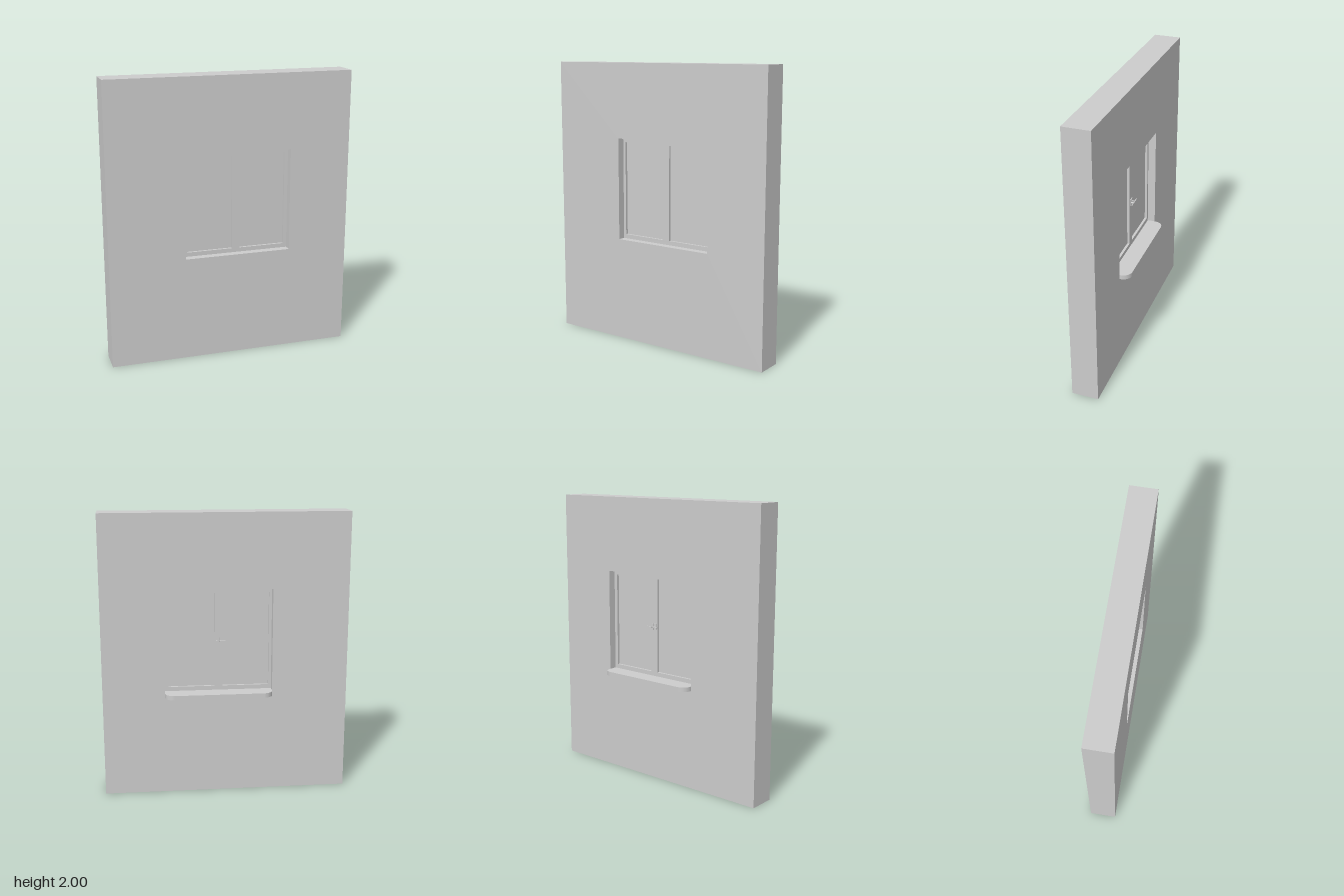
import * as THREE from 'three';

const mat = new THREE.MeshStandardMaterial({ color: 0xcccccc, side: THREE.DoubleSide });

// Window opening and wall depth limits
const X0 = -0.33, X1 = 0.43, Y0 = 0.74, Y1 = 1.47;
const WALL_BACK = -0.06, WALL_FRONT = 0.13;
const FRAME_BACK = -0.005, FRAME_FRONT = 0.075;

function rect(Type, x0, x1, y0, y1) {
  const s = new Type();
  s.moveTo(x0, y0);
  s.lineTo(x1, y0);
  s.lineTo(x1, y1);
  s.lineTo(x0, y1);
  s.closePath();
  return s;
}

function extrude(shape, z, depth) {
  const g = new THREE.ExtrudeGeometry(shape, { depth, bevelEnabled: false, curveSegments: 12 });
  return g.translate(0, 0, z);
}

function add(parent, name, geometry, x = 0, y = 0, z = 0) {
  const m = new THREE.Mesh(geometry, mat);
  m.name = name;
  m.position.set(x, y, z);
  parent.add(m);
  return m;
}

// Remove the triangles lying on the ground, leaving the wall open below
function openBottom(geometry) {
  const p = geometry.attributes.position.array;
  const kept = [];
  for (let i = 0; i < p.length; i += 9) {
    if (Math.max(p[i + 1], p[i + 4], p[i + 7]) > 1e-5) kept.push(...p.slice(i, i + 9));
  }
  const g = new THREE.BufferGeometry();
  g.setAttribute('position', new THREE.Float32BufferAttribute(kept, 3));
  g.computeVertexNormals();
  return g;
}

export function createModel() {
  const model = new THREE.Group();
  model.name = 'wallWithWindow';

  // Wall with the window opening
  const wallShape = rect(THREE.Shape, -0.867, 0.867, 0, 2);
  wallShape.holes.push(rect(THREE.Path, X0, X1, Y0, Y1));
  add(model, 'wall', openBottom(extrude(wallShape, WALL_BACK, WALL_FRONT - WALL_BACK)));

  // Frame with two lights and a central mullion
  const win = new THREE.Group();
  win.name = 'window';
  model.add(win);
  const lights = [[-0.31, 0.02], [0.075, 0.405]];
  const frameShape = rect(THREE.Shape, X0, X1, Y0, Y1);
  for (const [a, b] of lights) frameShape.holes.push(rect(THREE.Path, a, b, 0.77, 1.44));
  add(win, 'windowFrame', extrude(frameShape, FRAME_BACK, FRAME_FRONT - FRAME_BACK));

  // Panes set back from both faces of the frame
  for (const [a, b] of lights) {
    add(win, 'pane', new THREE.BoxGeometry(b - a, 0.67, 0.045), (a + b) / 2, 1.105, 0.035);
  }

  // Pair of mirrored lever handles on the inner side of the mullion
  for (const side of [-1, 1]) {
    const handle = new THREE.Group();
    handle.name = side < 0 ? 'rightHandle' : 'leftHandle';
    handle.position.set(0.0475 + side * 0.013, 1.1, FRAME_BACK);
    add(handle, 'handlePlate', new THREE.BoxGeometry(0.014, 0.045, 0.006), 0, 0, -0.003);
    add(handle, 'handleStem', new THREE.CylinderGeometry(0.005, 0.005, 0.024, 12).rotateX(Math.PI / 2), 0, 0, -0.015);
    add(handle, 'handleLever', new THREE.BoxGeometry(0.04, 0.009, 0.007), side * 0.014, 0, -0.026);
    win.add(handle);
  }

  // Sill with rounded outer corners, drawn in plan and laid flat
  const out = -0.13, r = 0.065;
  const sill = new THREE.Shape();
  sill.moveTo(X0, WALL_BACK);
  sill.lineTo(X0, out + r);
  sill.absarc(X0 + r, out + r, r, Math.PI, Math.PI * 1.5, false);
  sill.lineTo(X1 - r, out);
  sill.absarc(X1 - r, out + r, r, Math.PI * 1.5, Math.PI * 2, false);
  sill.lineTo(X1, WALL_BACK);
  sill.closePath();
  add(model, 'windowSill', extrude(sill, 0, 0.032).rotateX(Math.PI / 2), 0, Y0, 0);

  return model;
}
